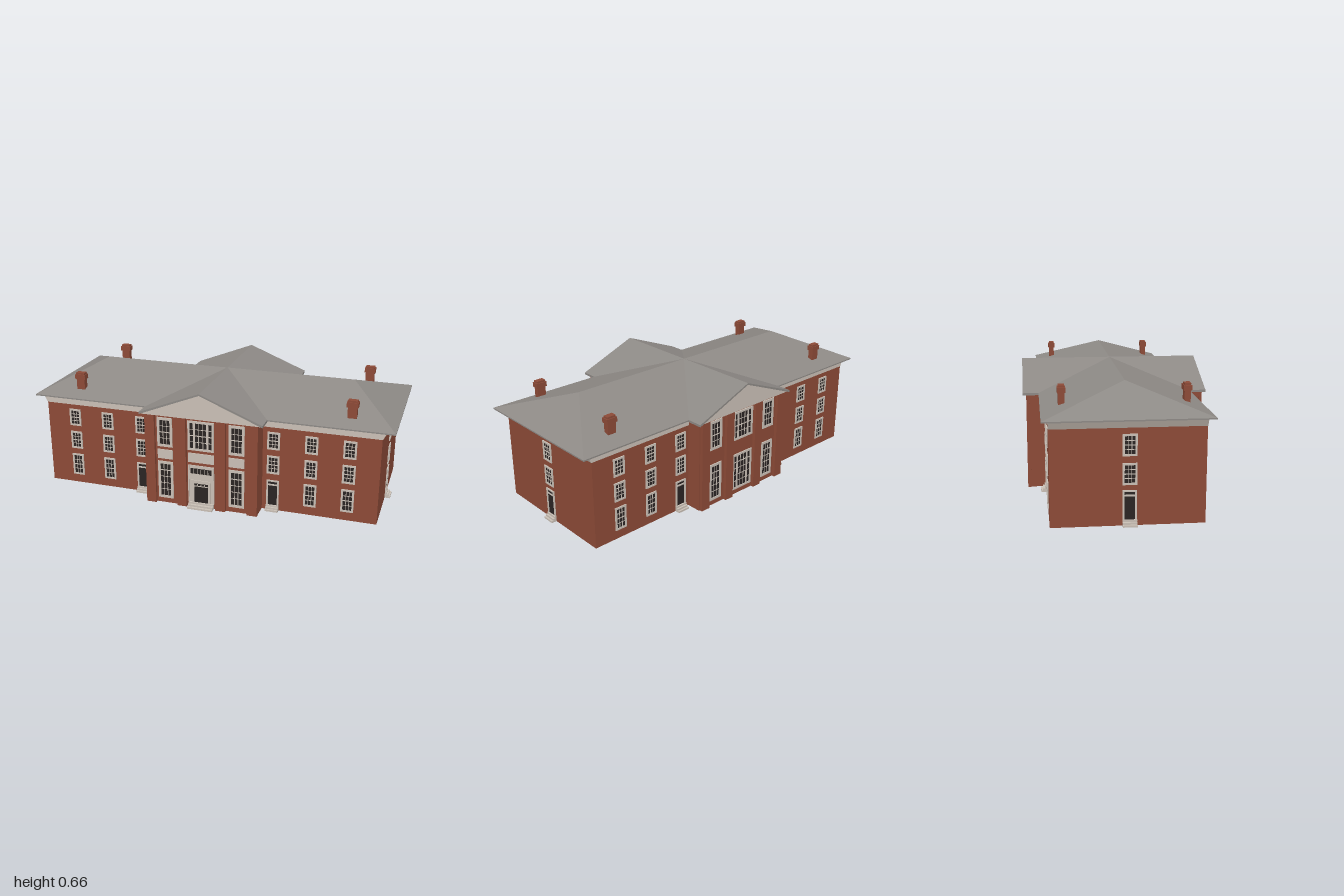
import * as THREE from 'three';
import { mergeGeometries } from 'three/addons/utils/BufferGeometryUtils.js';
import { ConvexGeometry } from 'three/addons/geometries/ConvexGeometry.js';

const mat = (color) => new THREE.MeshStandardMaterial({ color, side: THREE.DoubleSide });
const brick = mat(0x8c4a37), roofGrey = mat(0x8d8985), trim = mat(0xc9bfb5), glass = mat(0x2a2423);

function mesh(name, geometry, material, parent) {
  const m = new THREE.Mesh(geometry, material);
  m.name = name;
  parent.add(m);
  return m;
}

// Box from its centre in x and z, and its bottom in y
function box(name, w, h, d, x, y, z, material, parent) {
  const m = mesh(name, new THREE.BoxGeometry(w, h, d), material, parent);
  m.position.set(x, y + h / 2, z);
  return m;
}

// Flat outline in x,y extruded between two depths
function prism(name, points, z0, z1, material, parent) {
  const shape = new THREE.Shape(points.map(([x, y]) => new THREE.Vector2(x, y)));
  const g = new THREE.ExtrudeGeometry(shape, { depth: z1 - z0, bevelEnabled: false });
  return mesh(name, g.translate(0, 0, z0), material, parent);
}

// Bars given as [left, bottom, width, height], merged into one trim piece
function bars(name, list, depth, parent) {
  const parts = list.map(([x, y, w, h]) =>
    new THREE.BoxGeometry(w, h, depth).translate(x + w / 2, y + h / 2, depth / 2));
  return mesh(name, mergeGeometries(parts), trim, parent);
}

const frameBars = (w, h, f) => [
  [-w / 2, 0, f, h], [w / 2 - f, 0, f, h], [-w / 2 + f, 0, w - 2 * f, f], [-w / 2 + f, h - f, w - 2 * f, f]];

// Thin glazing bars dividing a rectangle into panes
function muntins(x, y, w, h, cols, rows, railAt) {
  const list = [], t = 0.0028;
  for (let i = 1; i < cols; i++) list.push([x + w * i / cols - t / 2, y, t, h]);
  for (let j = 1; j < rows; j++) {
    const r = j === railAt ? t * 1.8 : t;
    list.push([x, y + h * j / rows - r / 2, w, r]);
  }
  return list;
}

function addWindow(facade, x, y, z, w, h, { cols = 3, rows = 4, rail = 2, frame = 0.01, side = 0 } = {}) {
  const g = new THREE.Group();
  g.name = 'window';
  g.position.set(x, y, z);
  facade.add(g);
  box('glass', w - frame, h - frame, 0.002, 0, frame / 2, 0.001, glass, g);
  bars('windowFrame', frameBars(w, h, frame), 0.006, g);
  const inner = w - 2 * frame, ih = h - 2 * frame, core = inner - 2 * side;
  const panes = muntins(-core / 2, frame, core, ih, cols, rows, rail);
  if (side) {
    // Narrow sidelights separated by mullions
    for (const s of [-1, 1]) {
      panes.push([s * core / 2 - 0.006, frame, 0.012, ih]);
      panes.push(...muntins(s > 0 ? core / 2 : -inner / 2, frame, side, ih, 1, rows, rail));
    }
  }
  bars('glazingBars', panes, 0.004, g);
}

function addSteps(facade, x, z, w, run) {
  for (let i = 0; i < 3; i++) {
    const d = run * (3 - i) / 3;
    box('step', w, 0.01, d, x, i * 0.01, z + d / 2, trim, facade);
  }
}

function addDoor(facade, x, z) {
  const g = new THREE.Group(), w = 0.068, h = 0.145;
  g.name = 'door';
  g.position.set(x, 0.03, z);
  facade.add(g);
  box('doorPanel', w - 0.008, h - 0.005, 0.002, 0, 0, 0.001, glass, g);
  bars('doorFrame', [[-w / 2, 0, 0.009, h], [w / 2 - 0.009, 0, 0.009, h], [-w / 2, h - 0.008, w, 0.008],
    [-w / 2, 0.115, w, 0.008]], 0.006, g);
  addSteps(facade, x, z, 0.07, 0.03);
}

// Main doorway with transom lights, set in a pale surround
function addEntrance(facade, x, z) {
  const g = new THREE.Group();
  g.name = 'entrance';
  g.position.set(x, 0.03, z);
  facade.add(g);
  box('entranceSurround', 0.146, 0.215, 0.004, 0, 0, 0.002, trim, g);
  box('upperTransom', 0.12, 0.03, 0.002, 0, 0.168, 0.005, glass, g);
  box('doorPanel', 0.078, 0.092, 0.002, 0, 0, 0.005, glass, g);
  box('doorTransom', 0.078, 0.012, 0.002, 0, 0.098, 0.005, glass, g);
  bars('entranceTrim', [...muntins(-0.06, 0.168, 0.12, 0.03, 6, 1), ...muntins(-0.039, 0.098, 0.078, 0.012, 4, 1),
    [-0.052, 0, 0.012, 0.12], [0.04, 0, 0.012, 0.12], [-0.056, 0.12, 0.112, 0.01],
    [-0.073, 0, 0.008, 0.215], [0.065, 0, 0.008, 0.215]], 0.009, g);
  addSteps(facade, x, z, 0.14, 0.041);
}

// Long side with wings and a projecting centre bay
function addLongSide(facade, wingZ, bayZ, front) {
  for (const s of [-1, 1]) {
    for (const x of [0.375, 0.577, 0.776]) {
      addWindow(facade, s * x, 0.352, wingZ, 0.068, 0.098);
      addWindow(facade, s * x, 0.213, wingZ, 0.068, 0.103);
      if (x > 0.4) addWindow(facade, s * x, 0.05, wingZ, 0.068, 0.128);
      else addDoor(facade, s * x, wingZ);
    }
    const bx = s * 0.2;
    addWindow(facade, bx, 0.332, bayZ, 0.086, 0.166, { frame: 0.014 });
    addWindow(facade, bx, 0.03, bayZ, 0.086, 0.216, { frame: 0.014, rows: 5, rail: 4 });
    if (front) box('spandrelPanel', 0.086, 0.053, 0.005, bx, 0.262, bayZ + 0.0025, trim, facade);
    // Brick pilasters
    for (const px of [0.286, 0.109]) box('pilaster', 0.055, 0.513, 0.018, s * px + 0.004, 0, bayZ + 0.008, brick, facade);
  }
  addWindow(facade, 0.003, 0.332, bayZ, 0.146, 0.166, { frame: 0.012, side: 0.024 });
  if (front) {
    box('spandrelPanel', 0.146, 0.053, 0.005, 0.003, 0.262, bayZ + 0.0025, trim, facade);
    addEntrance(facade, 0.003, bayZ);
  } else {
    addWindow(facade, 0.003, 0.03, bayZ, 0.146, 0.216, { frame: 0.012, side: 0.024, rows: 5, rail: 4 });
  }
}

export function createModel() {
  const model = new THREE.Group();
  model.name = 'building';
  const cx = -0.005, cz = -0.006, hx = 0.939, hz = 0.371;

  // Brick walls
  box('mainWalls', 2 * hx, 0.478, 2 * hz, cx, 0, cz, brick, model);
  box('centreBayWalls', 0.622, 0.513, 0.914, 0.005, 0, -0.002, brick, model);

  // Cornice, flaring outward at the two ends
  prism('cornice', [[cx - hx - 0.001, 0.476], [cx + hx + 0.001, 0.476], [cx + hx + 0.024, 0.521], [cx - hx - 0.024, 0.521]],
    cz - hz - 0.001, cz + hz + 0.001, trim, model);

  // Hipped main roof
  const hip = [];
  for (const s of [-1, 1]) {
    hip.push(new THREE.Vector3(s * 0.725, 0.659, 0));
    for (const z of [-0.411, 0.396])
      for (const y of [0.518, 0.525]) hip.push(new THREE.Vector3(s, y, z));
  }
  mesh('mainRoof', new ConvexGeometry(hip), roofGrey, model);

  // Cross gable with pediments
  const gx = 0.005, gw = 0.34;
  prism('gableRoof', [[gx - gw, 0.513], [gx - gw, 0.525], [gx, 0.6595], [gx + gw, 0.525], [gx + gw, 0.513], [gx, 0.65]],
    -0.495, 0.486, roofGrey, model);
  prism('pediment', [[gx - gw + 0.004, 0.513], [gx + gw - 0.004, 0.513], [gx, 0.652]], -0.48, 0.475, trim, model);

  // Facade details
  const sides = [['frontFacade', 0], ['backFacade', Math.PI], ['leftFacade', Math.PI / 2], ['rightFacade', -Math.PI / 2]];
  for (const [name, turn] of sides) {
    const f = new THREE.Group();
    f.name = name;
    f.rotation.y = turn;
    model.add(f);
    if (name === 'frontFacade') addLongSide(f, cz + hz, 0.455, true);
    else if (name === 'backFacade') addLongSide(f, hz - cz, 0.459, false);
    else {
      const out = name === 'leftFacade' ? hx + cx : hx - cx;
      addWindow(f, 0, 0.341, out, 0.07, 0.106);
      addWindow(f, 0, 0.201, out, 0.07, 0.106);
      addDoor(f, 0, out);
    }
  }

  // Chimneys
  for (const x of [-0.757, 0.767]) {
    for (const z of [-0.309, 0.299]) {
      const c = new THREE.Group();
      c.name = 'chimney';
      c.position.set(x, 0, z);
      model.add(c);
      box('chimneyShaft', 0.048, 0.1, 0.03, 0, 0.525, 0, brick, c);
      box('chimneyCap', 0.06, 0.026, 0.04, 0, 0.612, 0, brick, c);
      box('chimneyTop', 0.05, 0.011, 0.031, 0, 0.637, 0, brick, c);
    }
  }
  return model;
}
